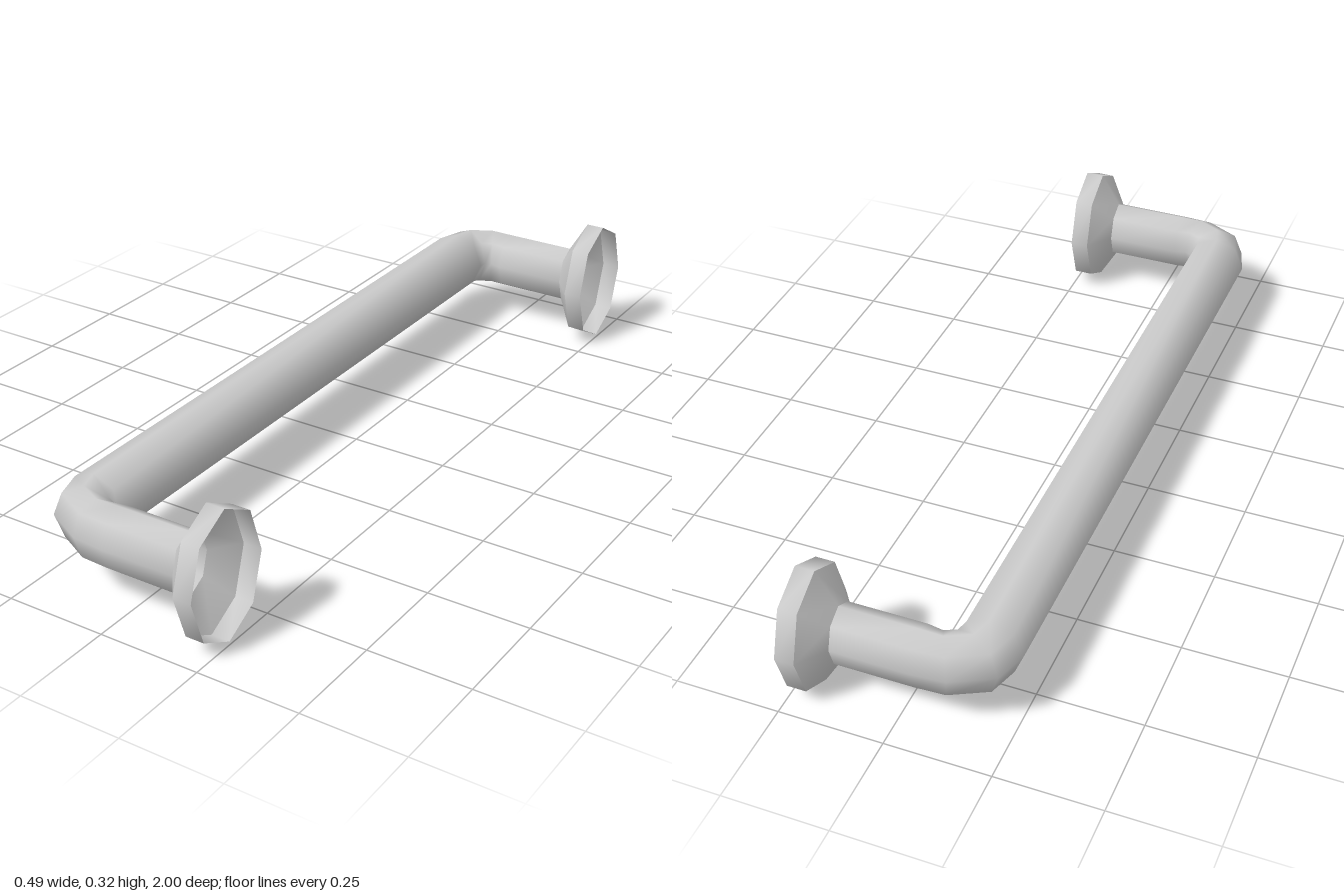
import * as THREE from 'three';

const SIDES = 8;
const AXIS_Y = 0.161; // height of the handle's centre line
const LEG_Z = 0.877;  // distance of each leg from the middle

const material = new THREE.MeshStandardMaterial({ color: 0xcccccc, side: THREE.DoubleSide });

// Skin open eight-sided rings; each ring is [outerX, outerZ, innerX, innerZ, radiusY]
function loft(name, rings) {
  const positions = [], index = [];
  rings.forEach(([ox, oz, ix, iz, ry], r) => {
    for (let s = 0; s < SIDES; s++) {
      const a = (s / SIDES) * Math.PI * 2, c = Math.cos(a) / 2;
      positions.push(
        (ox + ix) / 2 + (ox - ix) * c,
        AXIS_Y + Math.sin(a) * ry,
        (oz + iz) / 2 + (oz - iz) * c);
      if (r === rings.length - 1) continue;
      const p = r * SIDES + s, q = r * SIDES + (s + 1) % SIDES;
      index.push(p, q, p + SIDES, q, q + SIDES, p + SIDES);
    }
  });
  const geometry = new THREE.BufferGeometry();
  geometry.setAttribute('position', new THREE.Float32BufferAttribute(positions, 3));
  geometry.setIndex(index);
  geometry.computeVertexNormals();
  const mesh = new THREE.Mesh(geometry, material);
  mesh.name = name;
  return mesh;
}

// The same rings at the other end, in reverse so the faces still point outward
const mirror = rings => rings.map(([ox, oz, ix, iz, ry]) => [ox, -oz, ix, -iz, ry]).reverse();

// An upright ring across a leg
const legRing = (x, rz, ry) => [x, LEG_Z + rz, x, LEG_Z - rz, ry];

export function createModel() {
  const group = new THREE.Group();
  group.name = 'pullHandle';

  // Grip tube: front leg, bend, long bar, then the mirrored bend and leg
  const half = [
    legRing(0.148, 0.059, 0.078),
    legRing(-0.04, 0.059, 0.078),
    [-0.12, 0.93, -0.07, 0.826, 0.078],
    [-0.217, 0.88, -0.086, 0.819, 0.078],
    [-0.243, 0.80, -0.09, 0.80, 0.078],
  ];
  group.add(loft('gripTube', [...half, ...mirror(half)]));

  // Hollow mounting flanges: a flared cone and a straight rim at each end
  const rim = [legRing(0.243, 0.123, 0.161), legRing(0.197, 0.123, 0.161)];
  const cone = [legRing(0.197, 0.123, 0.161), legRing(0.148, 0.059, 0.078)];
  for (const [end, place] of [['front', r => r], ['back', mirror]]) {
    group.add(loft(end + 'FlangeRim', place(rim)), loft(end + 'FlangeCone', place(cone)));
  }
  return group;
}
